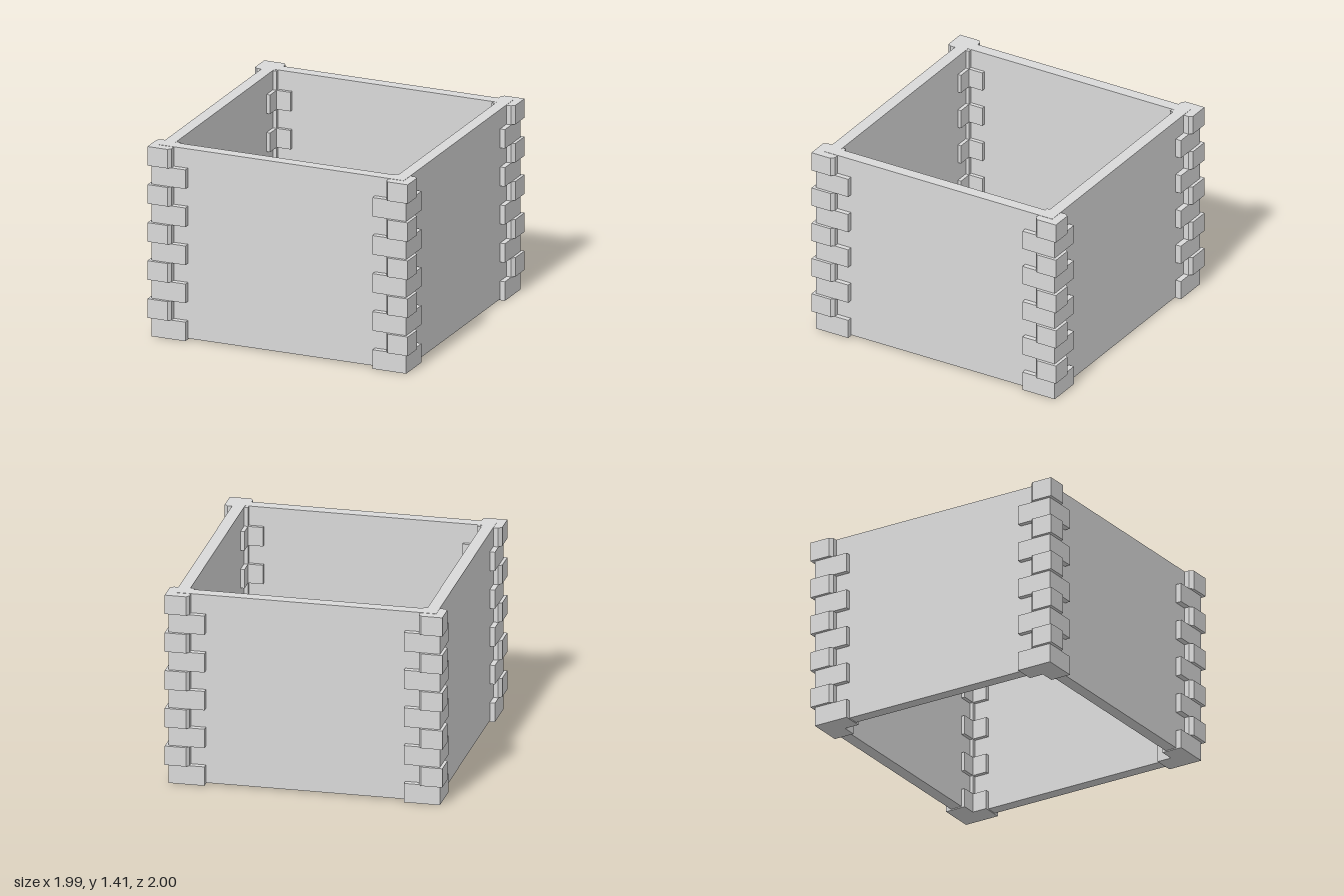
import * as THREE from 'three';

const LEVELS = 10;
const STEP = 0.1407;

// Flat outline in x/z, raised by a height along y
function slab(points, height, hole) {
  const shape = new THREE.Shape(points.map(([x, z]) => new THREE.Vector2(x, -z)));
  if (hole) shape.holes.push(new THREE.Path(hole.map(([x, z]) => new THREE.Vector2(x, -z))));
  const geometry = new THREE.ExtrudeGeometry(shape, { depth: height, bevelEnabled: false });
  return geometry.rotateX(-Math.PI / 2);
}

// Counter-clockwise seen from above, so that the faces of a hole point inwards
const rectangle = (x, z) => [[-x, z], [x, z], [x, -z], [-x, -z]];

export function createModel() {
  const model = new THREE.Group();
  model.name = 'openBox';
  const grey = new THREE.MeshStandardMaterial({ color: 0xd9d9d9 });
  grey.name = 'light grey';

  const add = (name, geometry, y, parent) => {
    const mesh = new THREE.Mesh(geometry, grey);
    mesh.name = name;
    mesh.position.y = y;
    parent.add(mesh);
  };

  // Four walls as one open frame
  add('walls', slab(rectangle(0.936, 0.935), 1.401, rectangle(0.85, 0.848)), 0.008, model);

  // L-shaped clasp that grips both walls
  const clasp = [
    [0.973, 0.977], [0.715, 0.977], [0.715, 0.822],
    [0.822, 0.822], [0.822, 0.713], [0.973, 0.713],
  ];
  // Square corner block with two chamfered outer ends
  const block = [
    [0.995, 1], [0.842, 1], [0.822, 0.975],
    [0.822, 0.822], [0.97, 0.822], [0.995, 0.845],
  ];

  // Corner posts alternate clasps and blocks from the ground up
  for (const sx of [-1, 1]) {
    for (const sz of [-1, 1]) {
      const post = new THREE.Group();
      post.name = (sz > 0 ? 'front' : 'back') + (sx > 0 ? 'Left' : 'Right') + 'Corner';
      const place = (points) => slab(points.map(([x, z]) => [x * sx, z * sz]), STEP);
      const claspGeometry = place(clasp);
      const blockGeometry = place(block);
      for (let i = 0; i < LEVELS; i++) {
        const isClasp = i % 2 === 0;
        add(isClasp ? 'clasp' : 'cornerBlock', isClasp ? claspGeometry : blockGeometry, i * STEP, post);
      }
      model.add(post);
    }
  }
  return model;
}
